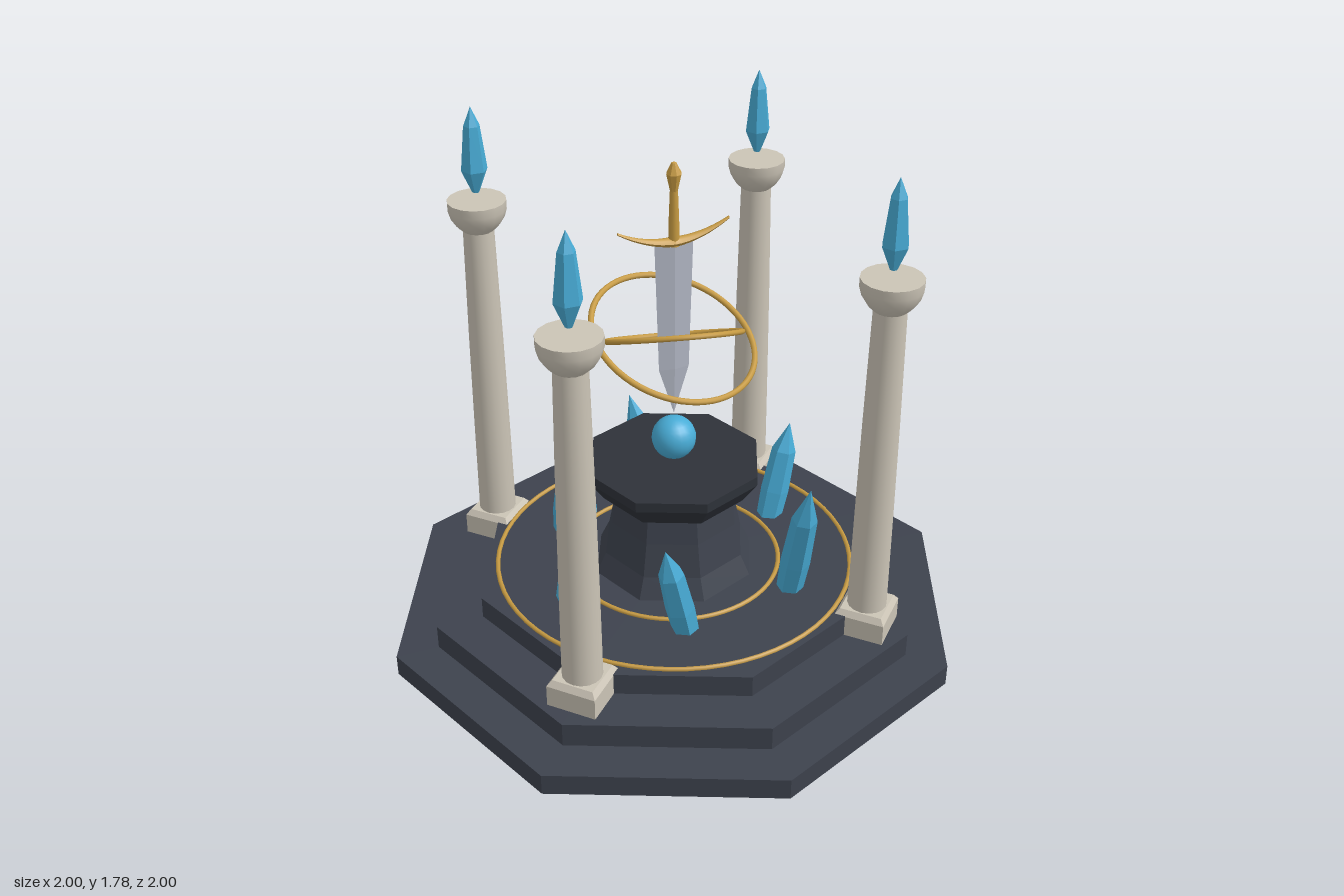
import * as THREE from 'three';

const mat = (name, color) => {
  const m = new THREE.MeshStandardMaterial({ color });
  m.name = name;
  return m;
};

// Give every face its own normal
function facet(geometry) {
  const g = geometry.index ? geometry.toNonIndexed() : geometry;
  g.computeVertexNormals();
  return g;
}

// Turned profile, points listed from bottom to top as [radius, y]
const turned = (points, sides) =>
  new THREE.LatheGeometry(points.map(([r, y]) => new THREE.Vector2(r, y)), sides);
const faceted = (points, sides) => facet(turned(points, sides));

export function createModel() {
  const stone = mat('dark stone', 0x3d424d);
  const darkStone = mat('darker stone', 0x2e3239);
  const marble = mat('pale marble', 0xcbc4b6);
  const gold = mat('gold', 0xc79b42);
  const blue = mat('blue crystal', 0x48acd6);
  const steel = mat('steel', 0xb4b9c6);

  const model = new THREE.Group();
  model.name = 'swordShrine';
  const add = (name, geometry, material, parent = model) => {
    const mesh = new THREE.Mesh(geometry, material);
    mesh.name = name;
    parent.add(mesh);
    return mesh;
  };

  // Three octagonal steps
  [[1, 0, 0.075], [0.855, 0.075, 0.16], [0.695, 0.16, 0.237]].forEach(([r, y0, y1], i) => {
    add(`step${i + 1}`, faceted([[0, y0], [r, y0], [r, y1], [0, y1]], 8), stone);
  });

  // Gold rings set in the floor
  [[0.615, 'outerFloorRing'], [0.365, 'innerFloorRing']].forEach(([r, name]) => {
    const ring = add(name, new THREE.TorusGeometry(r, 0.008, 6, 64), gold);
    ring.rotation.x = -Math.PI / 2;
    ring.position.y = 0.24;
  });

  // Pedestal with flared foot and slab
  add('pedestalBody', faceted([[0.285, 0.235], [0.25, 0.31], [0.225, 0.43], [0.21, 0.54]], 8), stone);
  add('pedestalSlab', faceted([[0, 0.535], [0.25, 0.535], [0.303, 0.61], [0.303, 0.645], [0, 0.645]], 8), darkStone);

  const orb = add('orb', new THREE.SphereGeometry(0.075, 20, 14), blue);
  orb.position.y = 0.725;

  // Four pillars, each topped by a floating crystal
  const plinth = faceted([[0, 0.16], [0.12, 0.16], [0.12, 0.235], [0.1, 0.255], [0, 0.255]], 4);
  const shaft = turned([[0.066, 0.25], [0.063, 0.6], [0.059, 0.95], [0.052, 1.37]], 16);
  const capital = turned([[0.052, 1.355], [0.073, 1.375], [0.09, 1.402], [0.098, 1.43], [0.098, 1.46]], 16);
  const capitalTop = new THREE.CircleGeometry(0.098, 16).rotateX(-Math.PI / 2).translate(0, 1.46, 0);
  const flame = faceted([[0, 1.483], [0.012, 1.487], [0.044, 1.565], [0.027, 1.715], [0, 1.778]], 6)
    .rotateY(Math.PI / 6);
  for (const x of [-0.5, 0.5]) {
    for (const z of [-0.5, 0.5]) {
      const pillar = new THREE.Group();
      pillar.name = 'pillar';
      pillar.position.set(x, 0, z);
      model.add(pillar);
      add('plinth', plinth, marble, pillar);
      add('shaft', shaft, marble, pillar);
      add('capital', capital, marble, pillar);
      add('capitalTop', capitalTop, marble, pillar);
      add('pillarCrystal', flame, blue, pillar);
    }
  }

  // Leaning floor crystals: base x, z then tip x, y, z
  const up = new THREE.Vector3(0, 1, 0);
  [
    [0.105, -0.425, 0.01, 0.62, -0.48],
    [-0.305, -0.295, -0.31, 0.57, -0.2],
    [0.415, -0.115, 0.5, 0.585, -0.145],
    [-0.42, 0.1, -0.312, 0.705, 0.055],
    [-0.105, 0.385, -0.192, 0.59, 0.425],
    [0.305, 0.305, 0.305, 0.705, 0.43],
  ].forEach(([x, z, tx, ty, tz], i) => {
    const base = new THREE.Vector3(x, 0.22, z);
    const axis = new THREE.Vector3(tx, ty, tz).sub(base);
    const h = axis.length();
    const shape = faceted([[0, 0], [0.045, 0], [0.05, h * 0.3], [0.043, h * 0.72], [0, h]], 6);
    const crystal = add(`floorCrystal${i + 1}`, shape, blue);
    crystal.position.copy(base);
    crystal.quaternion.setFromUnitVectors(up, axis.normalize());
  });

  // Two tilted floating rings: radius, tube, slope along x, slope along z
  [[0.277, 0.01, -0.2, -0.4], [0.222, 0.009, -0.1, 0.5]].forEach(([r, tube, a, b], i) => {
    const ring = add(`floatingRing${i + 1}`, new THREE.TorusGeometry(r, tube, 8, 64), gold);
    ring.position.y = 1.107;
    ring.quaternion.setFromUnitVectors(
      new THREE.Vector3(0, 0, 1), new THREE.Vector3(-a, 1, -b).normalize());
  });

  // Sword hanging point down
  const sword = new THREE.Group();
  sword.name = 'sword';
  model.add(sword);
  const blade = turned([[0, 0.82], [0.052, 0.99], [0.065, 1.44], [0, 1.44]], 4).scale(1, 1, 0.18);
  add('blade', facet(blade), steel, sword);
  add('grip', turned([[0.018, 1.43], [0.017, 1.5], [0.012, 1.63]], 10), gold, sword);
  add('pommel', faceted([[0, 1.605], [0.012, 1.61], [0.025, 1.67], [0.008, 1.705], [0, 1.708]], 8), gold, sword);

  // Guard arms taper and curve upward
  for (const side of [-1, 1]) {
    const arm = new THREE.CylinderGeometry(0.006, 0.022, 0.185, 8, 8)
      .translate(0, 0.0925, 0).rotateZ(-side * Math.PI / 2).scale(1, 0.7, 1);
    const p = arm.attributes.position;
    for (let i = 0; i < p.count; i++) {
      p.setY(i, p.getY(i) + 1.442 + 0.055 * (p.getX(i) / 0.185) ** 2);
    }
    arm.computeVertexNormals();
    add('guardArm', arm, gold, sword);
  }

  return model;
}
